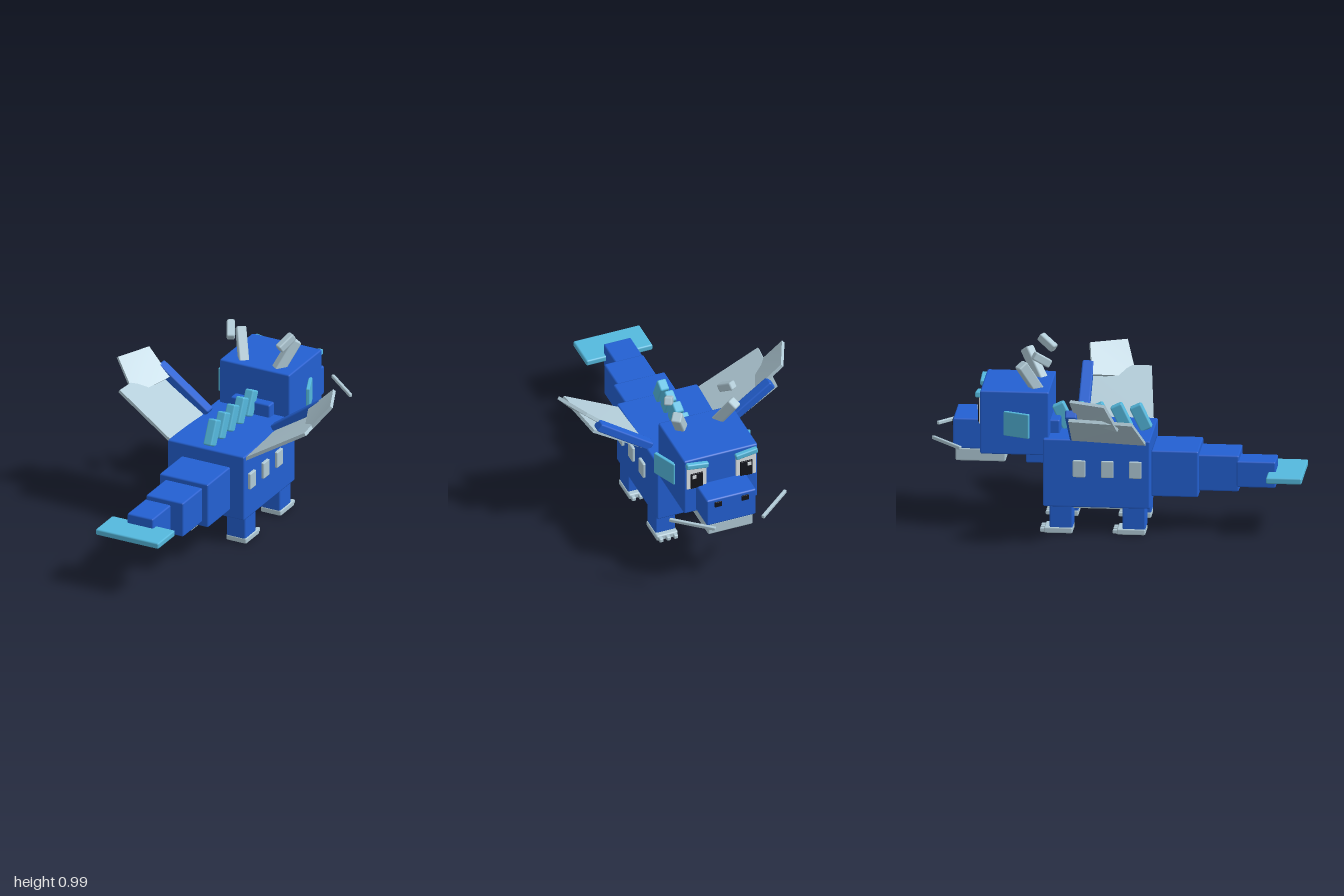
import * as THREE from 'three';
import { RoundedBoxGeometry } from 'three/addons/geometries/RoundedBoxGeometry.js';

const paint = (name, color) => {
  const m = new THREE.MeshStandardMaterial({ color });
  m.name = name;
  return m;
};

export function createModel() {
  const model = new THREE.Group();
  model.name = 'dragon';
  const blue = paint('scale blue', 0x2360d2);
  const pale = paint('pale horn', 0xb0cad6);
  const cyan = paint('fin cyan', 0x54b9de);
  const white = paint('eye white', 0xe6edf0);
  const black = paint('black', 0x14151c);

  const add = (name, geometry, material) => {
    const mesh = new THREE.Mesh(geometry, material);
    mesh.name = name;
    model.add(mesh);
    return mesh;
  };
  const block = (w, h, d) =>
    new RoundedBoxGeometry(w, h, d, 1, Math.min(0.009, 0.25 * Math.min(w, h, d)));

  // Chamfered box given by its limits on each axis
  const box = (name, material, x0, x1, y0, y1, z0, z1) => {
    const mesh = add(name, block(x1 - x0, y1 - y0, z1 - z0), material);
    mesh.position.set((x0 + x1) / 2, (y0 + y1) / 2, (z0 + z1) / 2);
    return mesh;
  };
  // Box limits mirrored to one side
  const sideBox = (name, material, s, x0, x1, ...rest) =>
    s > 0 ? box(name, material, x0, x1, ...rest) : box(name, material, -x1, -x0, ...rest);

  // Square bar running between two points
  const bar = (name, material, a, b, w, h) => {
    const from = new THREE.Vector3(...a), to = new THREE.Vector3(...b);
    const mesh = add(name, block(w, h, from.distanceTo(to)), material);
    mesh.position.copy(from).lerp(to, 0.5);
    mesh.lookAt(to);
    return mesh;
  };

  // Thin slab stretched over four corners, mirrored by s
  const slab = (name, material, s, corners, thickness) => {
    const c = corners.map((p) => new THREE.Vector3(...p));
    const n = c[1].clone().sub(c[0]).cross(c[3].clone().sub(c[0])).normalize();
    const g = new THREE.BoxGeometry(1, 1, 1);
    const p = g.attributes.position;
    for (let i = 0; i < p.count; i++) {
      const u = p.getX(i) + 0.5, v = p.getY(i) + 0.5;
      const low = c[0].clone().lerp(c[1], u), high = c[3].clone().lerp(c[2], u);
      const q = low.lerp(high, v).addScaledVector(n, p.getZ(i) * thickness);
      p.setXYZ(i, q.x * s, q.y, q.z);
    }
    if (s < 0) g.setIndex(Array.from(g.index.array).reverse());
    g.computeVertexNormals();
    add(name, g, material);
  };

  // Body, neck and head, facing -z
  box('body', blue, -0.235, 0.23, 0.153, 0.53, -0.39, 0.185);
  box('neck', blue, -0.12, 0.118, 0.36, 0.603, -0.493, -0.31);
  box('head', blue, -0.213, 0.212, 0.43, 0.782, -0.73, -0.36);
  box('snout', blue, -0.143, 0.143, 0.437, 0.605, -0.882, -0.72);
  box('jaw', pale, -0.13, 0.13, 0.365, 0.437, -0.87, -0.6);
  box('bellyPlate', pale, -0.175, 0.172, 0.13, 0.16, -0.335, 0.13);

  // Tail
  box('tailBase', blue, -0.15, 0.147, 0.2, 0.455, 0.183, 0.437);
  box('tailMiddle', blue, -0.115, 0.112, 0.228, 0.428, 0.43, 0.652);
  box('tailTip', blue, -0.123, 0.035, 0.255, 0.4, 0.64, 0.85);
  box('tailFin', cyan, -0.235, 0.148, 0.31, 0.345, 0.808, 1);

  // Back spines leaning toward the head
  for (let i = 0; i < 5; i++) {
    const spine = box('backSpine', cyan, -0.026, 0.026, 0.525, 0.67, -0.034, 0.034);
    spine.position.z = -0.3 + i * 0.104;
    spine.rotation.x = -0.45;
  }

  for (const s of [1, -1]) {
    // Legs with three-clawed feet
    for (const z of [-0.293, 0.098]) {
      sideBox('leg', blue, s, 0.108, 0.224, 0.03, 0.165, z - 0.062, z + 0.062);
      sideBox('foot', pale, s, 0.105, 0.229, 0.003, 0.037, z - 0.092, z + 0.062);
      for (const x of [0.125, 0.167, 0.209]) {
        sideBox('claw', pale, s, x - 0.012, x + 0.012, 0.006, 0.03, z - 0.115, z - 0.085);
      }
    }

    // Flank scales
    for (const z of [-0.195, -0.043, 0.107]) {
      sideBox('flankScale', pale, s, 0.222, 0.246, 0.322, 0.416, z - 0.034, z + 0.034);
    }

    // Eyes, brows and nostrils
    sideBox('eyeWhite', white, s, 0.085, 0.2, 0.595, 0.745, -0.737, -0.728);
    sideBox('pupil', black, s, 0.108, 0.178, 0.6, 0.695, -0.745, -0.736);
    sideBox('eyeGlint', white, s, 0.148, 0.17, 0.665, 0.687, -0.748, -0.743);
    const brow = sideBox('brow', cyan, s, 0.078, 0.206, 0.732, 0.764, -0.757, -0.727);
    brow.rotation.z = s * 0.14;
    sideBox('nostril', black, s, 0.058, 0.098, 0.553, 0.585, -0.888, -0.88);

    // Cheek fin hinged at its front edge
    const cheek = add('cheekFin', block(0.02, 0.135, 0.152), cyan);
    cheek.position.set(s * 0.24, 0.605, -0.53);
    cheek.rotation.y = s * 0.4;

    // Whisker and two-piece horn
    bar('whisker', pale, [s * 0.335, 0.495, -0.823], [s * 0.136, 0.495, -0.99], 0.018, 0.02);
    bar('hornBase', pale, [s * 0.1, 0.755, -0.425], [s * 0.168, 0.92, -0.515], 0.055, 0.06);
    bar('hornTip', pale, [s * 0.146, 0.922, -0.362], [s * 0.189, 0.98, -0.443], 0.044, 0.046);

    // Wing arm and two membranes
    bar('wingArm', blue, [s * 0.2, 0.53, -0.215], [s * 0.5, 0.748, -0.215], 0.062, 0.05);
    slab('innerWing', pale, s, [[0.225, 0.51, 0.163], [0.565, 0.716, 0.12],
      [0.53, 0.722, -0.225], [0.22, 0.525, -0.235]], 0.018);
    slab('outerWing', pale, s, [[0.52, 0.668, 0.04], [0.65, 0.838, -0.02],
      [0.565, 0.838, -0.213], [0.425, 0.7, -0.19]], 0.018);
  }
  return model;
}
